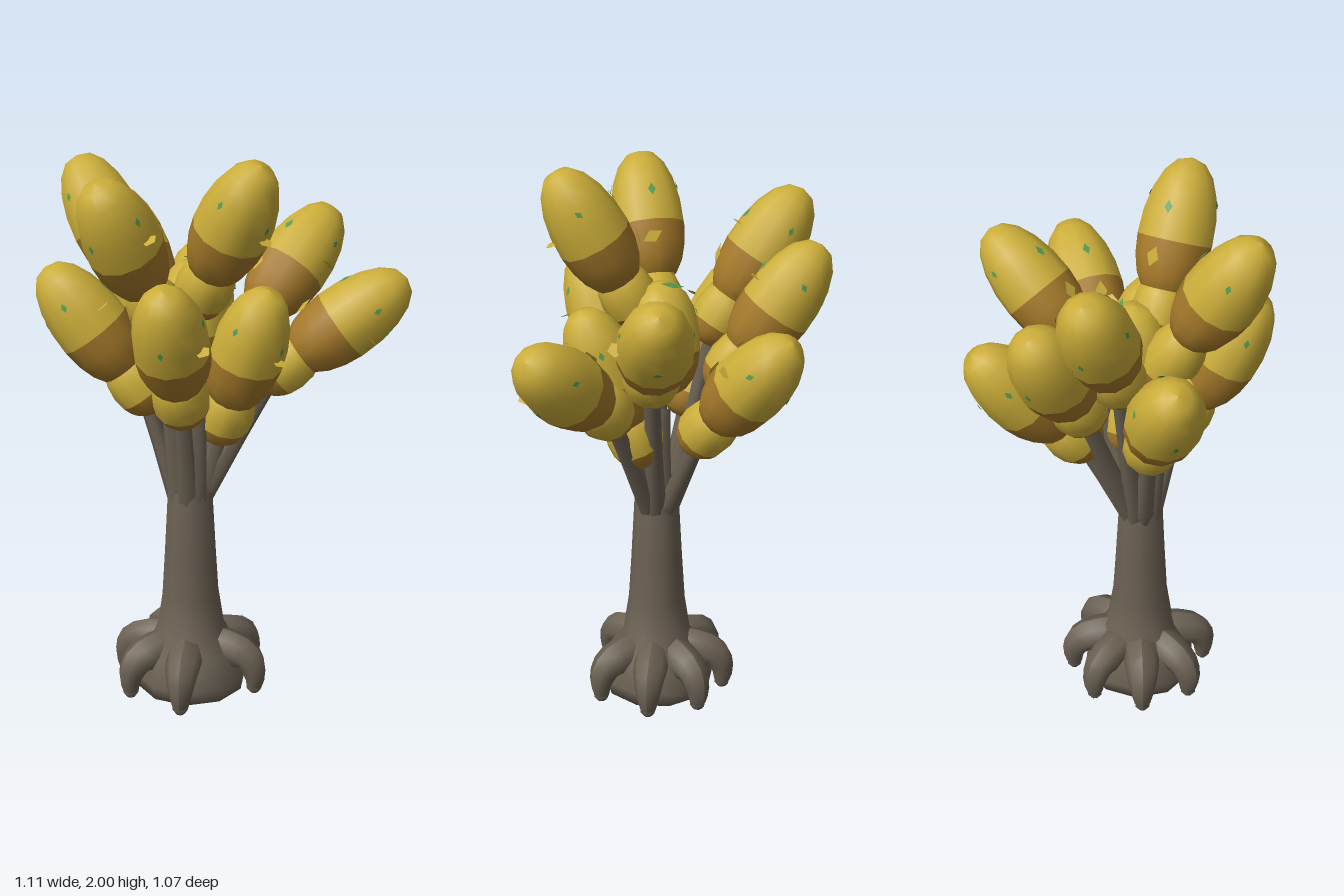
import * as THREE from 'three';

const mat = (name, color, side = THREE.FrontSide) => {
  const m = new THREE.MeshStandardMaterial({ color, side });
  m.name = name;
  return m;
};
const V = (x, y, z) => new THREE.Vector3(x, y, z);
const UP = V(0, 1, 0);
const TRUNK_Z = 0.085;

export function createModel() {
  const bark = mat('bark', 0x6b6153);
  const gold = mat('gold', 0xcbad39, THREE.DoubleSide);
  const brown = mat('brown', 0xa67a2a);
  const green = mat('green', 0x559a50, THREE.DoubleSide);
  const model = new THREE.Group();
  model.name = 'podTree';

  const add = (parent, name, geometry, material) => {
    const mesh = new THREE.Mesh(geometry, material);
    mesh.name = name;
    parent.add(mesh);
    return mesh;
  };

  // Tube whose radius follows a list of values along its path
  const taperedTube = (points, radii, sides) => {
    const curve = new THREE.CatmullRomCurve3(points);
    const segments = 10;
    const geo = new THREE.TubeGeometry(curve, segments, 1, sides);
    const pos = geo.attributes.position;
    const p = V(0, 0, 0);
    for (let i = 0; i < pos.count; i++) {
      const t = Math.floor(i / (sides + 1)) / segments;
      const f = t * (radii.length - 1);
      const k = Math.min(Math.floor(f), radii.length - 2);
      const r = THREE.MathUtils.lerp(radii[k], radii[k + 1], f - k);
      const c = curve.getPointAt(t);
      p.fromBufferAttribute(pos, i).sub(c).multiplyScalar(r).add(c);
      pos.setXYZ(i, p.x, p.y, p.z);
    }
    geo.computeVertexNormals();
    return geo;
  };

  // Blunt egg outline at angle a, from -PI/2 (bottom) to PI/2 (top); fuller below the middle
  const eggPoint = (a, half, radius) => new THREE.Vector2(
    radius * Math.pow(Math.max(0, Math.cos(a)), 0.85) * (1 - 0.06 * Math.sin(a)), half * Math.sin(a));
  const eggPart = (a0, a1, half, radius) => {
    const pts = [];
    for (let i = 0; i <= 5; i++) pts.push(eggPoint(a0 + (a1 - a0) * i / 5, half, radius));
    return new THREE.LatheGeometry(pts, 12);
  };
  const addEgg = (name, centre, dir, half, radius, seam) => {
    const g = new THREE.Group();
    g.name = name;
    add(g, name + 'Base', eggPart(-Math.PI / 2, seam, half, radius), brown);
    add(g, name + 'Top', eggPart(seam, Math.PI / 2, half, radius), gold);
    g.position.copy(centre);
    g.quaternion.setFromUnitVectors(UP, dir);
    model.add(g);
    return g;
  };

  // Small flat patch lying on the skin of an egg
  const addPatch = (group, name, material, size, a, turn, half, radius, lift) => {
    const p = eggPoint(a, half, radius);
    const normal = V(Math.cos(a) / radius * Math.cos(turn), Math.sin(a) / half,
      Math.cos(a) / radius * Math.sin(turn)).normalize();
    const m = add(group, name, new THREE.CircleGeometry(size, 4), material);
    m.scale.x = 0.6;
    m.position.set(p.x * Math.cos(turn), p.y, p.x * Math.sin(turn)).addScaledVector(normal, lift);
    m.quaternion.setFromUnitVectors(V(0, 0, 1), normal);
    return m;
  };

  // Trunk with a swollen foot that ends in a blunt point
  const profile = [[0, 0], [0.19, 0.07], [0.2, 0.12], [0.17, 0.22], [0.12, 0.29], [0.1, 0.42],
    [0.09, 0.58], [0.078, 0.8], [0.06, 0.85], [0, 0.86]].map(([x, y]) => new THREE.Vector2(x, y));
  add(model, 'trunk', new THREE.LatheGeometry(profile, 10), bark).position.z = TRUNK_Z;

  // Claw shaped roots, at angles in degrees around the trunk
  const rootPath = [[0.05, 0.235], [0.14, 0.225], [0.21, 0.2], [0.238, 0.145], [0.238, 0.09]];
  for (const degrees of [58, 111, 156, 201, 246, 291, 340]) {
    const a = THREE.MathUtils.degToRad(degrees);
    const pts = rootPath.map(([r, y]) => V(r * Math.cos(a), y, TRUNK_Z + r * Math.sin(a)));
    add(model, 'root', taperedTube(pts, [0.055, 0.064, 0.06, 0.046, 0.028], 8), bark);
    const tip = add(model, 'rootTip', new THREE.SphereGeometry(0.028, 8, 5), bark);
    tip.position.copy(pts[4]);
  }

  // Pods: centre, growing direction, and distance down to the bulb where it is longer
  const pods = [
    [[-0.035, 1.735, 0.365], [0, 0.86, 0.51], 0.31],
    [[0.215, 1.78, 0.12], [0.48, 0.87, 0.03]],
    [[-0.37, 1.69, 0.085], [-0.55, 0.83, 0]],
    [[-0.385, 1.55, -0.065], [-0.55, 0.8, -0.08]],
    [[-0.28, 1.39, 0.27], [-0.5, 0.8, 0.35]],
    [[0.13, 1.42, 0.325], [0.22, 0.85, 0.42]],
    [[0.385, 1.405, -0.275], [0.62, 0.62, -0.55]],
    [[0.105, 1.535, -0.345], [0.12, 0.65, -0.69]],
    [[-0.24, 1.34, -0.245], [-0.42, 0.75, -0.5]],
    [[0.19, 1.33, 0.01], [0.35, 0.9, 0]],
    [[-0.01, 1.41, 0.05], [0, 1, 0.05]],
  ];
  pods.forEach(([c, d, drop = 0.255], i) => {
    const centre = V(...c), dir = V(...d).normalize();
    const central = i === pods.length - 1;
    const half = central ? 0.2 : 0.235;
    const radius = central ? 0.132 : 0.126;
    const pod = addEgg('pod', centre, dir, half, radius, -0.14);
    const toLocal = pod.quaternion.clone().invert();

    // Green flecks around the skin, starting from the side facing the sky
    const sky = UP.clone().applyQuaternion(toLocal);
    for (let k = 0; k < 4; k++) {
      addPatch(pod, 'fleck', green, k === 0 ? 0.022 : 0.016, k % 2 ? 0.45 : 0.3,
        Math.atan2(sky.z, sky.x) + k * Math.PI / 2, half, radius, 0.003);
    }

    if (central) {
      // Long green sliver on the crown
      const sliver = addPatch(pod, 'crownFleck', green, 0.045, 1.25, 4.1, half, radius, 0.006);
      sliver.scale.set(1, 0.35, 1);
      sliver.rotateZ(0.4);
    } else {
      // Loose flake on the side facing the trunk, and a thin leaf standing out to the left
      const inward = V(-c[0], 0, TRUNK_Z - c[2]).applyQuaternion(toLocal);
      addPatch(pod, 'flake', gold, 0.036, -0.4, Math.atan2(inward.z, inward.x), half, radius, 0.01);
      const out = V(1, 0, 0).applyQuaternion(toLocal).setY(0).setLength(radius);
      const leaf = add(pod, 'leaf', new THREE.CircleGeometry(0.026, 5), gold);
      leaf.position.set(out.x, 0.03, out.z);
      leaf.rotation.x = -Math.PI / 2;
    }

    // Small bulb below the pod, and the branch that carries it
    const bulb = centre.clone().addScaledVector(dir, central ? -0.2 : -drop);
    if (!central) addEgg('bulb', bulb, dir, drop * 0.49, 0.096, -0.4);
    const end = bulb.clone().addScaledVector(dir, -0.04);
    const side = V(end.x, 0, end.z - TRUNK_Z).setLength(0.042);
    const start = V(side.x, 0.78, TRUNK_Z + side.z);
    const middle = start.clone().lerp(end, 0.5);
    add(model, 'branch', taperedTube([start, middle, end], [0.038, 0.03, 0.027], 7), bark);
  });

  return model;
}
